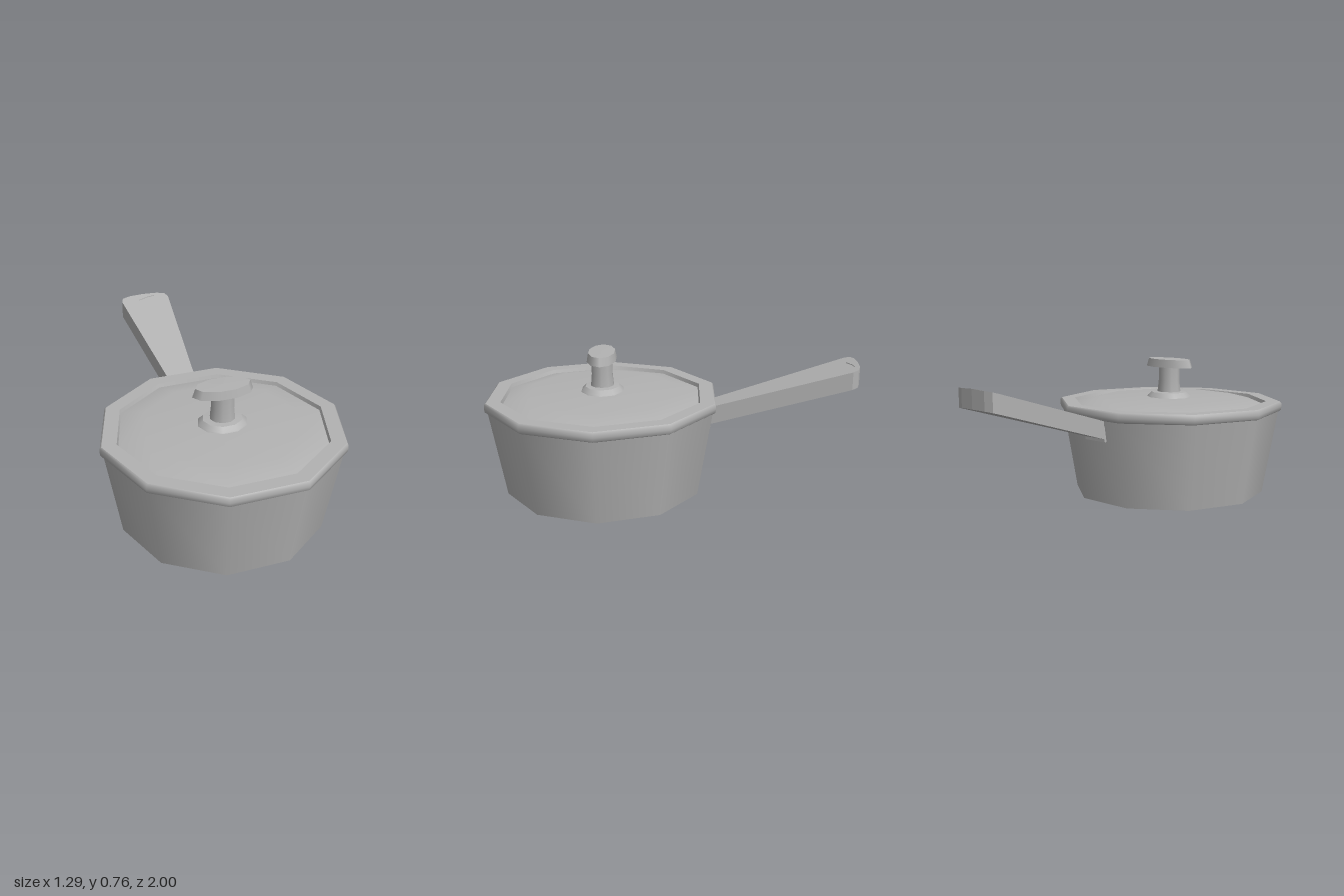
import * as THREE from 'three';

const grey = new THREE.MeshStandardMaterial({ color: 0xb2b2b2 });
grey.name = 'grey metal';

// Ten-sided turned part with a corner on +x. Each run of [radius, y] points is
// smooth within itself; separate runs meet at a sharp edge.
function turned(name, runs, squash = 1) {
  const part = new THREE.Group();
  part.name = name;
  for (const run of runs) {
    const points = run.map(([r, y]) => new THREE.Vector2(r, y));
    const geometry = new THREE.LatheGeometry(points, 10, Math.PI / 2);
    geometry.scale(1, 1, squash);
    const mesh = new THREE.Mesh(geometry, grey);
    mesh.name = name + 'Surface';
    part.add(mesh);
  }
  return part;
}

// Extrudes a plan outline [x, distance back] upward, then shears it along the handle's slope
function sloped(name, outline, thickness, base, slope) {
  const shape = new THREE.Shape(outline.map(([x, d]) => new THREE.Vector2(x, d)));
  const geometry = new THREE.ExtrudeGeometry(shape, { depth: thickness, bevelEnabled: false });
  geometry.rotateX(-Math.PI / 2);
  const p = geometry.attributes.position;
  for (let i = 0; i < p.count; i++) {
    p.setY(i, p.getY(i) + base - slope * (p.getZ(i) + 0.2));
  }
  geometry.computeVertexNormals();
  const mesh = new THREE.Mesh(geometry, grey);
  mesh.name = name;
  return mesh;
}

export function createModel() {
  const model = new THREE.Group();
  model.name = 'saucepan';

  const pan = new THREE.Group();
  pan.name = 'panAndLid';
  pan.position.z = 0.385;
  model.add(pan);

  // Tapered body with flat bottom
  pan.add(turned('body', [
    [[0, 0], [0.545, 0]],
    [[0.545, 0], [0.627, 0.475]],
  ]));

  // Rounded lid rim, with a small step down on its inside
  pan.add(turned('lidRim', [
    [[0.6, 0.473], [0.632, 0.473]],
    [[0.632, 0.473], [0.642, 0.48], [0.645, 0.5], [0.643, 0.52], [0.635, 0.528]],
    [[0.635, 0.528], [0.557, 0.528]],
    [[0.557, 0.528], [0.55, 0.508]],
  ]));

  // Shallow lid
  pan.add(turned('lid', [[[0.552, 0.508], [0.41, 0.543], [0, 0.547]]]));

  // Knob: flared foot, stem and oval cap
  pan.add(turned('knobFoot', [
    [[0.135, 0.54], [0.128, 0.552], [0.105, 0.573]],
    [[0.105, 0.573], [0.06, 0.577]],
  ], 0.9));
  pan.add(turned('knobStem', [[[0.068, 0.573], [0.061, 0.64], [0.061, 0.725]]], 0.95));
  pan.add(turned('knobCap', [
    [[0, 0.718], [0.163, 0.718]],
    [[0.163, 0.718], [0.147, 0.763]],
    [[0.147, 0.763], [0, 0.765]],
  ], 0.5));

  // Widening handle with a rounded tip
  model.add(sloped('handle', [
    [0.07, 0.18], [0.148, 0.95], [0.135, 0.98], [0.09, 0.995], [0, 1],
    [-0.09, 0.995], [-0.135, 0.98], [-0.148, 0.95], [-0.07, 0.18],
  ], 0.097, 0.372, 0.292));

  // Slim raised mark near the tip
  model.add(sloped('tipMark', [
    [-0.04, 0.945], [0.02, 0.965], [0.065, 0.97], [0.02, 0.975], [-0.02, 0.965],
  ], 0.004, 0.469, 0.292));

  // Plate joining the handle to the body
  const plate = new THREE.Mesh(new THREE.BoxGeometry(0.15, 0.11, 0.035), grey);
  plate.name = 'handlePlate';
  plate.position.set(0, 0.412, -0.188);
  model.add(plate);

  return model;
}
